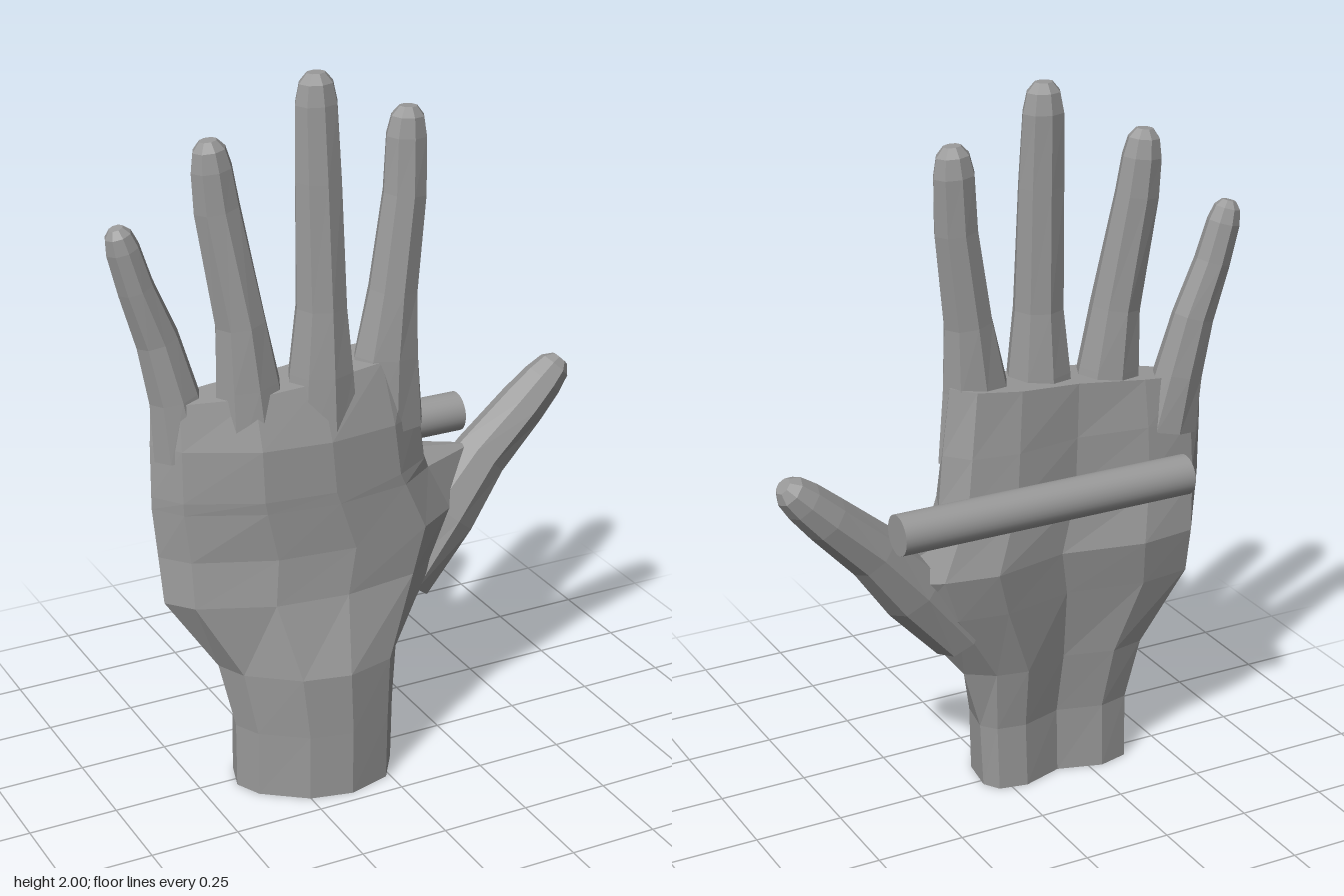
import * as THREE from 'three';

const skin = new THREE.MeshStandardMaterial({ color: 0x999999, flatShading: true });
skin.name = 'matte grey faceted';
const smooth = new THREE.MeshStandardMaterial({ color: 0x999999 });
smooth.name = 'matte grey smooth';

// Skin a stack of equal-length rings of Vector3 and close both ends
function loft(name, rings) {
  const n = rings[0].length;
  const points = rings.flat();
  const index = [];
  for (let r = 0; r < rings.length - 1; r++) {
    for (let i = 0; i < n; i++) {
      const a = r * n + i, b = r * n + (i + 1) % n;
      index.push(a, b, b + n, a, b + n, a + n);
    }
  }
  const cap = (r, up) => {
    const centre = new THREE.Vector3();
    rings[r].forEach((p) => centre.addScaledVector(p, 1 / n));
    const c = points.push(centre) - 1;
    for (let i = 0; i < n; i++) {
      const a = r * n + i, b = r * n + (i + 1) % n;
      if (up) index.push(a, b, c); else index.push(b, a, c);
    }
  };
  cap(0, false);
  cap(rings.length - 1, true);
  const geometry = new THREE.BufferGeometry().setFromPoints(points);
  geometry.setIndex(index);
  geometry.computeVertexNormals();
  const mesh = new THREE.Mesh(geometry, skin);
  mesh.name = name;
  return mesh;
}

// Octagonal digit along stations [x, y, z, half width, half depth], with a rounded tip
function digit(name, ...stations) {
  const [x, y, z, w, d] = stations.at(-1);
  const before = stations.at(-2);
  const dir = new THREE.Vector2(x - before[0], y - before[1]).normalize();
  for (const [reach, scale] of [[0.9, 0.8], [1.33, 0.43]]) {
    stations.push([x + dir.x * w * reach, y + dir.y * w * reach, z, w * scale, d * scale]);
  }
  return loft(name, stations.map(([cx, cy, cz, rw, rd], i) => {
    const p = stations[Math.max(i - 1, 0)];
    const q = stations[Math.min(i + 1, stations.length - 1)];
    const t = new THREE.Vector2(q[0] - p[0], q[1] - p[1]).normalize();
    return Array.from({ length: 8 }, (_, k) => {
      const a = k * Math.PI / 4, s = -Math.cos(a) * rw;
      return new THREE.Vector3(cx + t.y * s, cy - t.x * s, cz + Math.sin(a) * rd);
    });
  }));
}

// Palm outline rule: [fraction across, bulge] for the front and the back
const front = [[.075, .4], [.33, .87], [.59, 1], [.86, .85], [1, .45]];
const back = [[.97, .75], [.79, 1], [.53, .55], [.25, 1], [.06, .8]];

// One palm ring: outer edge, core edge, thumb-side edge, then front, back and edge depths
function palmRing([y, xl, xc, xr, zf, zb, zl, zr], i, all) {
  const tilt = i === all.length - 1 ? 0.09 : 0;
  const point = (x, z) => new THREE.Vector3(x, y + tilt * x, z);
  const side = (list, depth) => list.map(([t, bulge]) => {
    const edge = THREE.MathUtils.lerp(zl, zr, t);
    return point(THREE.MathUtils.lerp(xl, xc, t), THREE.MathUtils.lerp(edge, depth, bulge));
  });
  return [point(xl, zl), ...side(front, zf), point(xr, zr), ...side(back, zb)];
}

export function createModel() {
  const model = new THREE.Group();
  model.name = 'open hand';

  model.add(loft('palm and wrist', [
    [0, -.40, .05, .065, .215, -.08, .03, -.02],
    [.19, -.40, .055, .075, .215, -.075, .03, -.02],
    [.37, -.435, .07, .13, .215, -.10, 0, -.03],
    [.58, -.575, .21, .30, .15, -.135, -.03, -.05],
    [.71, -.58, .26, .41, .14, -.155, -.05, -.05],
    [.85, -.59, .19, .38, .14, -.125, -.06, -.05],
    [.885, -.59, .17, .20, .14, -.12, -.06, -.025],
    [1.03, -.585, .15, .185, .135, -.105, -.07, -.02],
    [1.2, -.575, .125, .16, .09, -.085, -.08, -.015],
  ].map(palmRing)));

  model.add(
    digit('little finger', [-.49, 1, -.055, .09, .07], [-.515, 1.16, -.065, .07, .065],
      [-.552, 1.32, -.075, .06, .055], [-.605, 1.47, -.08, .05, .05],
      [-.635, 1.577, -.083, .046, .045]),
    digit('ring finger', [-.32, 1, .01, .11, .09], [-.335, 1.19, .005, .09, .08],
      [-.35, 1.36, 0, .07, .07], [-.4, 1.67, -.02, .064, .055],
      [-.411, 1.775, -.023, .057, .05]),
    digit('middle finger', [-.135, 1, .035, .11, .095], [-.135, 1.2, .035, .092, .085],
      [-.133, 1.38, .035, .071, .07], [-.134, 1.72, .025, .066, .058],
      [-.135, 1.92, .017, .06, .05]),
    digit('index finger', [.06, 1, .015, .12, .085], [.07, 1.2, .015, .095, .075],
      [.09, 1.38, .012, .07, .065], [.128, 1.64, .003, .062, .057],
      [.137, 1.792, -.005, .059, .05]),
    digit('thumb', [.14, .5, -.02, .085, .09], [.28, .67, -.035, .1, .09],
      [.405, .81, -.05, .08, .075], [.54, .935, -.055, .067, .07],
      [.604, .997, -.055, .058, .06]));

  // Straight bar behind the palm
  const bar = new THREE.Mesh(new THREE.CylinderGeometry(.056, .056, .875, 32), smooth);
  bar.name = 'rear bar';
  bar.rotation.z = Math.PI / 2;
  bar.position.set(-.047, .9, -.167);
  model.add(bar);

  return model;
}
